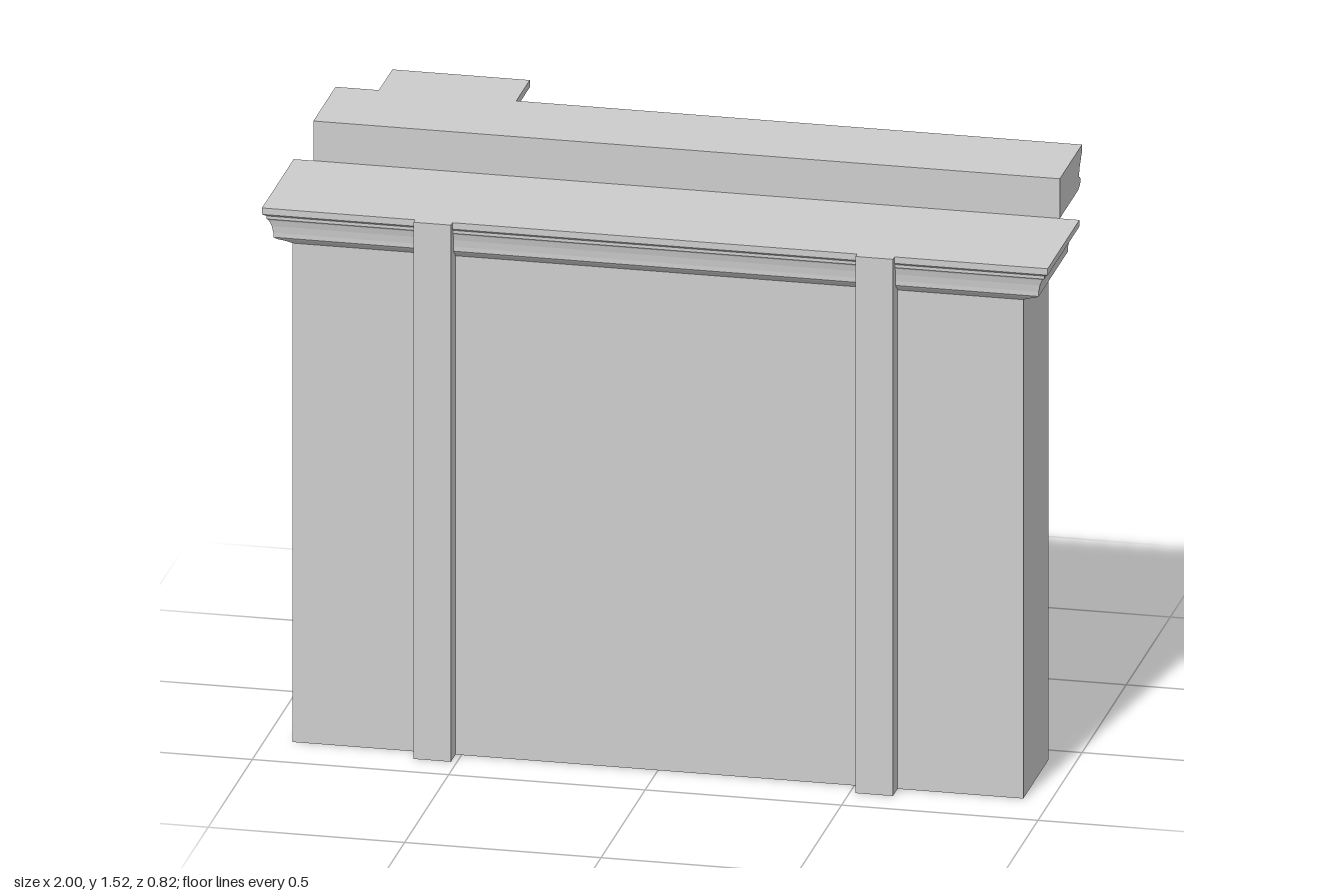
import * as THREE from 'three';

export function createModel() {
  const root = new THREE.Group();
  const stone = new THREE.MeshStandardMaterial({ color: 0xcccccc });
  stone.name = 'paleStone';

  const add = (name, geo, parent = root) => {
    const m = new THREE.Mesh(geo, stone);
    m.name = name;
    parent.add(m);
    return m;
  };
  // Box given by its limits on each axis
  const box = (name, x0, x1, y0, y1, z0, z1, parent) => {
    const g = new THREE.BoxGeometry(x1 - x0, y1 - y0, z1 - z0);
    g.translate((x0 + x1) / 2, (y0 + y1) / 2, (z0 + z1) / 2);
    return add(name, g, parent);
  };
  // Flat-shaded solid from stacked [x, z] outlines: outline(d) is drawn at each [d, y]
  const loft = (outline, profile) => {
    const pos = [], idx = [], n = outline(0).length;
    for (const [d, y] of profile) for (const [x, z] of outline(d)) pos.push(x, y, z);
    for (let i = 0; i < profile.length - 1; i++)
      for (let j = 0; j < n; j++) {
        const a = i * n + j, b = i * n + (j + 1) % n;
        idx.push(a, b, b + n, a, b + n, a + n);
      }
    const cap = (d) => THREE.ShapeUtils.triangulateShape(outline(d).map(([x, z]) => new THREE.Vector2(x, -z)), []);
    const top = (profile.length - 1) * n;
    for (const [a, b, c] of cap(profile[0][0])) idx.push(a, c, b);
    for (const [a, b, c] of cap(profile[profile.length - 1][0])) idx.push(top + a, top + b, top + c);
    const g = new THREE.BufferGeometry();
    g.setAttribute('position', new THREE.Float32BufferAttribute(pos, 3));
    g.setIndex(idx);
    const flat = g.toNonIndexed();
    flat.computeVertexNormals();
    return flat;
  };
  // Picture-frame moulding in the xy plane
  const frame = (name, x0, x1, y0, y1, t, z0, z1, parent) => {
    const rect = (P, a, b, c, d) => new P([[a, c], [b, c], [b, d], [a, d]].map(p => new THREE.Vector2(...p)));
    const s = rect(THREE.Shape, x0, x1, y0, y1);
    s.holes.push(rect(THREE.Path, x0 + t, x1 - t, y0 + t, y1 - t));
    const g = new THREE.ExtrudeGeometry(s, { depth: z1 - z0, bevelEnabled: false });
    g.translate(0, 0, z0);
    return add(name, g, parent);
  };

  // Main wall and its moulded cornice
  box('mainWall', -0.93, 0.93, 0, 1.4, 0.07, 0.355);
  const cornice = (t) => {
    const x = 0.93 + 0.07 * t, b = 0.355 + 0.035 * t, f = 0.07 - 0.04 * t;
    return [[-x, b], [x, b], [x, f], [-x, f]];
  };
  add('cornice', loft(cornice, [[0, 1.32], [0.2, 1.327], [0.5, 1.334], [0.63, 1.34], [0.63, 1.352],
    [0.68, 1.37], [0.78, 1.386], [0.86, 1.39], [0.86, 1.398], [1, 1.403], [1, 1.42]]));

  // Through pilasters and door frame
  for (const s of [-1, 1]) {
    const side = (name, a, b, ...rest) => box(name, Math.min(s * a, s * b), Math.max(s * a, s * b), ...rest);
    side('pilaster', 0.515, 0.61, 0, 1.42, -0.155, 0.408);
    side('doorFrame', 0.485, 0.516, 0, 1.42, -0.14, 0.08);
  }
  box('frieze', -0.516, 0.516, 1.2, 1.42, -0.13, -0.08);
  box('friezeRail', -0.516, 0.516, 1.19, 1.21, -0.14, -0.08);

  // Entablature that steps forward over the column
  const steppedPlan = (xe, back) => (d) => {
    const m = -0.175 - d, f = -0.328 - d, r = -0.537 + d, l = -0.793 - d;
    return [[-xe, back], [xe, back], [xe, m], [r, m], [r, f], [l, f], [l, m], [-xe, m]];
  };
  add('entablature', loft(steppedPlan(0.95, 0.03), [[0.004, 1.42], [0.025, 1.428], [0.03, 1.436], [0.026, 1.446],
    [0.014, 1.452], [0.014, 1.46], [0.02, 1.475], [0.034, 1.492], [0.04, 1.5], [0.047, 1.506], [0.047, 1.525]]));
  add('entablatureBead', loft(steppedPlan(0.62, -0.08), [[0, 1.39], [0.01, 1.394], [0.014, 1.402],
    [0.01, 1.41], [0, 1.414], [0, 1.42]]));

  // Pair of panelled doors with pull handles
  for (const s of [-1, 1]) {
    const door = new THREE.Group();
    door.name = s > 0 ? 'leftDoor' : 'rightDoor';
    root.add(door);
    const X = (a, b) => (s > 0 ? [a, b] : [-b, -a]);
    box('doorLeaf', ...X(0.004, 0.486), 0.004, 1.19, -0.12, -0.08, door);
    frame('upperBorder', ...X(0.1, 0.475), 0.66, 1.17, 0.012, -0.13, -0.119, door);
    frame('upperMoulding', ...X(0.13, 0.445), 0.725, 1.115, 0.018, -0.136, -0.119, door);
    frame('upperInnerMoulding', ...X(0.148, 0.427), 0.743, 1.097, 0.01, -0.129, -0.119, door);
    for (const a of [0.1, 0.293]) {
      frame('lowerMoulding', ...X(a, a + 0.182), 0.045, 0.62, 0.014, -0.134, -0.119, door);
      frame('lowerInnerMoulding', ...X(a + 0.014, a + 0.168), 0.059, 0.606, 0.01, -0.127, -0.119, door);
      box('lowerPanel', ...X(a + 0.035, a + 0.147), 0.08, 0.585, -0.125, -0.119, door);
    }
    // Handle: slim turned bar on two posts
    const bar = [[0, 0.46], [0.006, 0.468], [0.003, 0.478], [0.007, 0.5], [0.005, 0.53], [0.008, 0.62],
      [0.005, 0.71], [0.007, 0.74], [0.003, 0.762], [0.006, 0.772], [0, 0.78]];
    const g = new THREE.LatheGeometry(bar.map(p => new THREE.Vector2(...p)), 12);
    add('handleBar', g, door).position.set(s * 0.045, 0, -0.168);
    for (const y of [0.52, 0.72]) {
      const post = add('handlePost', new THREE.CylinderGeometry(0.006, 0.009, 0.05, 12).rotateX(-Math.PI / 2), door);
      post.position.set(s * 0.045, y, -0.143);
    }
  }

  // Stepped pedestal: plinth, dado and cap
  for (const [name, g, y0, y1] of [['plinth', 0, 0, 0.022], ['dado', 0.022, 0.022, 0.13], ['pedestalCap', 0, 0.13, 0.148]]) {
    box(name, -0.79 + g, -0.545 - g, y0, y1, -0.408 + g, -0.14);
    box(name + 'Wing', -0.95 + g, -0.6, y0, y1, -0.2 + g, 0.08);
  }

  // Fluted column with scrolled capital
  const column = new THREE.Group();
  column.name = 'column';
  column.position.set(-0.667, 0, -0.257);
  root.add(column);
  const lathe = (name, pts) =>
    add(name, new THREE.LatheGeometry(pts.map(p => new THREE.Vector2(...p)), 48), column);
  lathe('columnBase', [[0.118, 0.147], [0.123, 0.155], [0.125, 0.168], [0.122, 0.182], [0.115, 0.19], [0.107, 0.196],
    [0.103, 0.205], [0.105, 0.21], [0.111, 0.214], [0.111, 0.222], [0.104, 0.228], [0.092, 0.232], [0.083, 0.245], [0, 0.245]]);
  const flutes = 24, steps = 8, pts = [];
  for (let i = 0; i < flutes * steps; i++) {
    const u = (i % steps) / steps, a = (i / (flutes * steps)) * Math.PI * 2;
    const r = 0.083 - (u > 0.2 ? 0.011 * Math.sin(((u - 0.2) / 0.8) * Math.PI) : 0);
    pts.push(new THREE.Vector2(r * Math.cos(a), r * Math.sin(a)));
  }
  const shaft = new THREE.ExtrudeGeometry(new THREE.Shape(pts), { depth: 1.04, bevelEnabled: false });
  add('flutedShaft', shaft.rotateX(-Math.PI / 2), column).position.y = 0.24;
  lathe('echinus', [[0, 1.27], [0.083, 1.27], [0.086, 1.285], [0.083, 1.295], [0.097, 1.31], [0.101, 1.325], [0.095, 1.345], [0, 1.345]]);
  box('scrollBand', -0.1, 0.1, 1.342, 1.385, -0.09, 0.09, column);
  box('abacus', -0.125, 0.125, 1.375, 1.395, -0.085, 0.085, column);
  for (const s of [-1, 1]) {
    const bolster = add('scrollBolster', new THREE.CylinderGeometry(0.054, 0.054, 0.18, 32).rotateX(Math.PI / 2), column);
    bolster.position.set(s * 0.1, 1.335, 0);
    for (const f of [-1, 1]) {
      // Spiral ridge winding in to the eye
      const path = [];
      for (let i = 0; i <= 40; i++) {
        const u = i / 40, a = Math.PI / 2 - s * u * Math.PI * 4.5, r = 0.049 - 0.038 * u;
        path.push(new THREE.Vector3(s * 0.1 + r * Math.cos(a), 1.335 + r * Math.sin(a), f * 0.091));
      }
      add('scrollSpiral', new THREE.TubeGeometry(new THREE.CatmullRomCurve3(path), 80, 0.006, 6), column);
      const eye = add('scrollEye', new THREE.SphereGeometry(0.01, 12, 8), column);
      eye.position.set(s * 0.1, 1.335, f * 0.09);
    }
  }
  return root;
}
